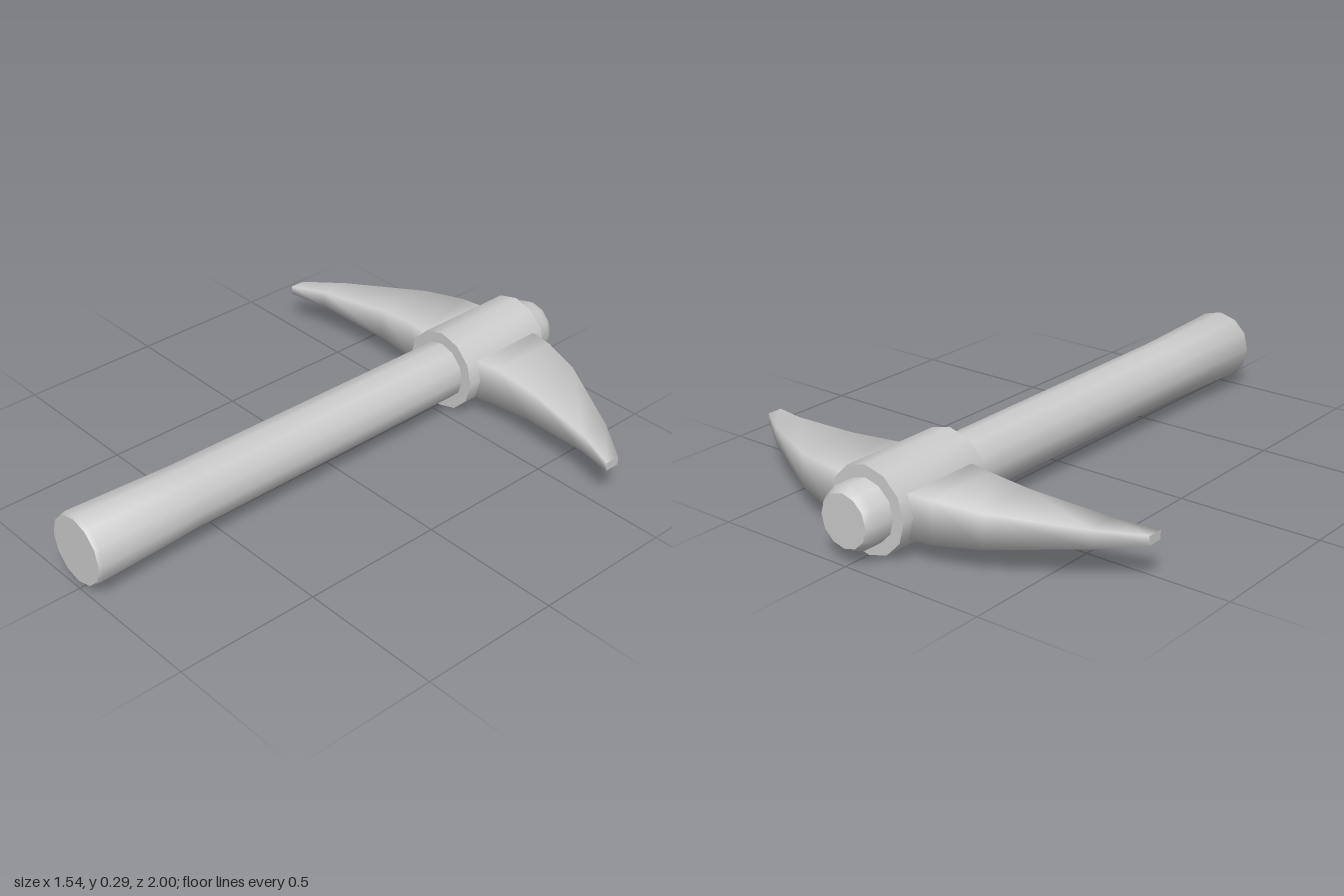
import * as THREE from 'three';
import { toCreasedNormals } from 'three/addons/utils/BufferGeometryUtils.js';

const AXIS_Y = 0.147;
const SIDES = 12;

// Turned part lying along z; profile is [radius, z] from back to front
function turned(name, profile, material) {
  const points = profile.map(([r, z]) => new THREE.Vector2(r, z));
  const lathe = new THREE.LatheGeometry(points, SIDES).rotateX(Math.PI / 2);
  const mesh = new THREE.Mesh(toCreasedNormals(lathe, 0.95), material);
  mesh.name = name;
  mesh.position.y = AXIS_Y;
  return mesh;
}

// Curved double blade: rectangular sections [x, back z, front z, half height], mirrored in x
function bladeGeometry() {
  const half = [
    [0.14, -0.862, -0.58, 0.072],
    [0.21, -0.852, -0.592, 0.071],
    [0.36, -0.81, -0.592, 0.057],
    [0.635, -0.662, -0.555, 0.03],
    [0.77, -0.567, -0.512, 0.015],
  ];
  const mirrored = half.map(([x, ...rest]) => [-x, ...rest]).reverse();
  const stations = [...mirrored, ...half];
  const corners = ([x, b, f, h]) => [x, -h, b, x, h, b, x, h, f, x, -h, f];
  const positions = stations.flatMap(corners);
  const index = [];
  for (let i = 0; i < stations.length - 1; i++) {
    for (let j = 0; j < 4; j++) {
      const a = i * 4 + j, b = i * 4 + (j + 1) % 4;
      index.push(a, b, b + 4, a, b + 4, a + 4);
    }
  }
  // Flat tips with their own vertices so their edges stay sharp
  const n = stations.length * 4;
  positions.push(...corners(stations[0]), ...corners(stations.at(-1)));
  index.push(n, n + 2, n + 1, n, n + 3, n + 2);
  index.push(n + 4, n + 5, n + 6, n + 4, n + 6, n + 7);

  const geometry = new THREE.BufferGeometry();
  geometry.setAttribute('position', new THREE.Float32BufferAttribute(positions, 3));
  geometry.setIndex(index);
  geometry.computeVertexNormals();
  return geometry;
}

export function createModel() {
  const group = new THREE.Group();
  group.name = 'pickaxe';
  const material = new THREE.MeshStandardMaterial({ color: 0xcccccc });

  // Handle, flared at the grip end
  group.add(turned('handle', [
    [0, -1], [0.088, -1], [0.104, -0.972], [0.104, -0.4], [0.109, 0.6],
    [0.123, 0.985], [0.117, 1], [0, 1],
  ], material));

  // Collar clasping the handle
  group.add(turned('collar', [
    [0.1, -0.902], [0.145, -0.902], [0.145, -0.532], [0.1, -0.532],
  ], material));

  // Pick blades
  const blades = new THREE.Mesh(bladeGeometry(), material);
  blades.name = 'pickBlades';
  blades.position.y = AXIS_Y;
  group.add(blades);

  return group;
}
